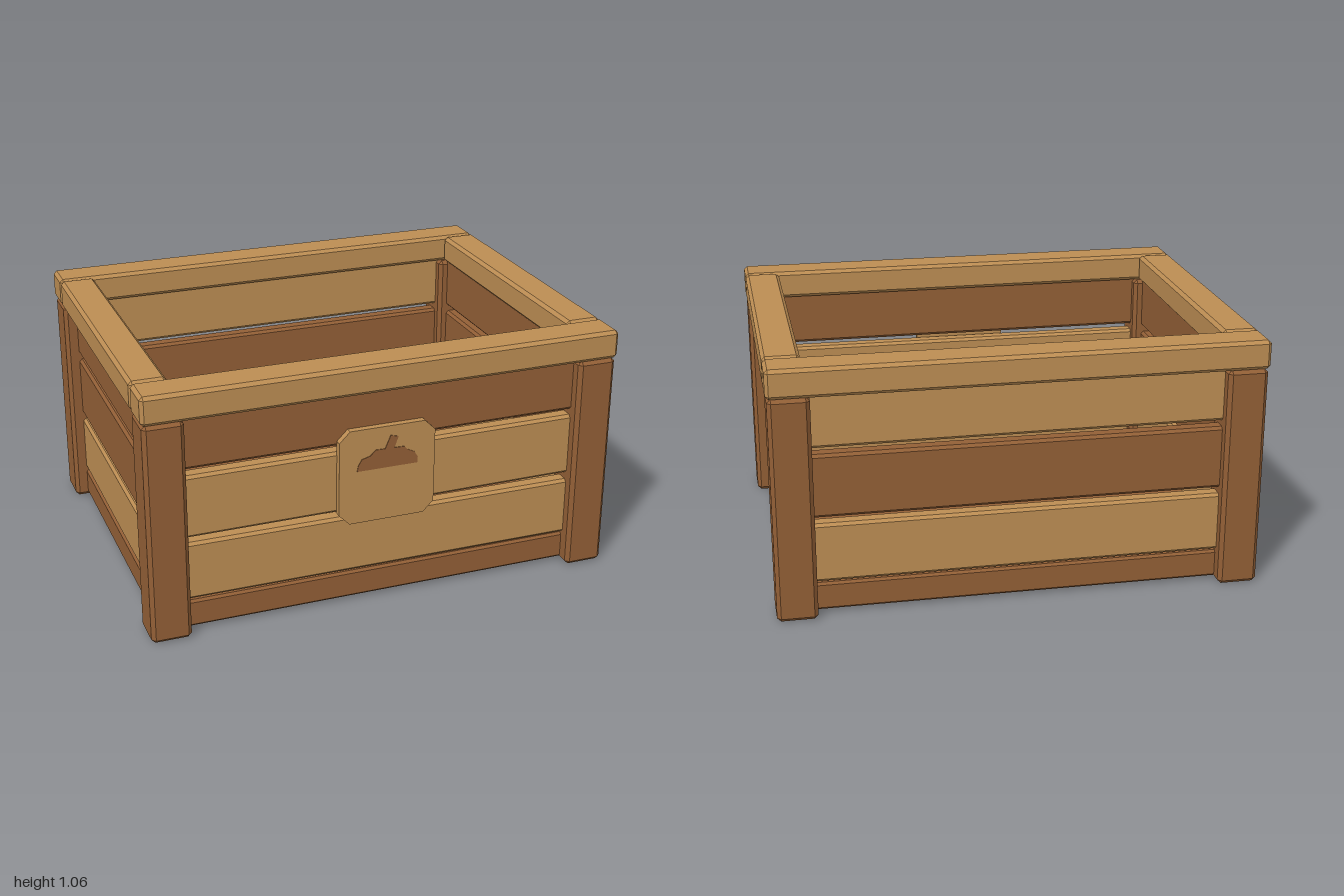
import * as THREE from 'three';
import { ConvexGeometry } from 'three/addons/geometries/ConvexGeometry.js';

// Box with flat chamfers on every edge, given by its limits
function chamferBox(x0, x1, y0, y1, z0, z1, c = 0.015) {
  const h = [(x1 - x0) / 2, (y1 - y0) / 2, (z1 - z0) / 2];
  const points = [];
  for (const sx of [-1, 1]) for (const sy of [-1, 1]) for (const sz of [-1, 1]) {
    for (let full = 0; full < 3; full++) {
      const d = h.map((v, i) => (i === full ? v : v - c));
      points.push(new THREE.Vector3(sx * d[0], sy * d[1], sz * d[2]));
    }
  }
  const geometry = new ConvexGeometry(points);
  return { geometry, center: [(x0 + x1) / 2, (y0 + y1) / 2, (z0 + z1) / 2] };
}

function plate(points, depth) {
  const shape = new THREE.Shape(points.map(([x, y]) => new THREE.Vector2(x, y)));
  return new THREE.ExtrudeGeometry(shape, { depth, bevelEnabled: false });
}

export function createModel() {
  const lightWood = new THREE.MeshStandardMaterial({ color: 0xbc8d53 });
  lightWood.name = 'lightWood';
  const darkWood = new THREE.MeshStandardMaterial({ color: 0x925f36 });
  darkWood.name = 'darkWood';

  const crate = new THREE.Group();
  crate.name = 'crate';

  function board(name, material, limits, chamfer) {
    const { geometry, center } = chamferBox(...limits, chamfer);
    const mesh = new THREE.Mesh(geometry, material);
    mesh.name = name;
    mesh.position.set(...center);
    crate.add(mesh);
    return mesh;
  }

  // Floor slab
  board('floor', darkWood, [-0.94, 0.94, 0.012, 0.13, -0.71, 0.71], 0.01);

  // Corner posts
  for (const sx of [-1, 1]) for (const sz of [-1, 1]) {
    const post = board('cornerPost', darkWood, [0.83, 0.995, 0, 0.937, 0.605, 0.772], 0.016);
    post.position.x *= sx;
    post.position.z *= sz;
  }

  // Wall planks, bottom to top, with gaps between them
  const rows = [[0.14, 0.39], [0.417, 0.683], [0.71, 0.945]];
  const frontColours = [lightWood, lightWood, darkWood];
  const backColours = [lightWood, darkWood, lightWood];
  const sideColours = [lightWood, darkWood, darkWood];
  const tilts = [-0.003, 0.002, 0];
  rows.forEach(([y0, y1], i) => {
    const front = board('frontPlank', frontColours[i], [-0.9, 0.9, y0, y1, 0.65, 0.72], 0.012);
    front.rotation.z = tilts[i];
    board('backPlank', backColours[i], [-0.9, 0.9, y0, y1, -0.72, -0.65], 0.012);
    board('rightPlank', sideColours[i], [0.87, 0.94, y0, y1, -0.67, 0.67], 0.012);
    board('leftPlank', sideColours[i], [-0.94, -0.87, y0, y1, -0.67, 0.67], 0.012);
  });

  // Top rim
  board('frontRim', lightWood, [-1, 1, 0.937, 1.057, 0.62, 0.778], 0.014);
  board('backRim', lightWood, [-1, 1, 0.937, 1.057, -0.778, -0.62], 0.014);
  board('rightRim', lightWood, [0.85, 1, 0.937, 1.057, -0.617, 0.617], 0.014);
  board('leftRim', lightWood, [-1, -0.85, 0.937, 1.057, -0.617, 0.617], 0.014);

  // Sign with cut corners
  const w = 0.205, b = 0.37, t = 0.778, c = 0.045;
  const sign = new THREE.Mesh(plate([
    [-w + c, b], [w - c, b], [w, b + c], [w, t - c],
    [w - c, t], [-w + c, t], [-w, t - c], [-w, b + c],
  ], 0.03), lightWood);
  sign.name = 'sign';
  sign.position.z = 0.718;
  crate.add(sign);

  // Painted vegetable and stem on the sign
  const paint = {
    paintedVegetable: [
      [-0.13, 0.6], [0.13, 0.6], [0.13, 0.625], [0.115, 0.65], [0.085, 0.665], [0.07, 0.68],
      [-0.05, 0.683], [-0.075, 0.66], [-0.11, 0.65], [-0.125, 0.625],
    ],
    paintedStem: [[-0.012, 0.68], [0.028, 0.68], [0.045, 0.728], [0.012, 0.737]],
  };
  for (const [name, points] of Object.entries(paint)) {
    const mesh = new THREE.Mesh(plate(points, 0.004), darkWood);
    mesh.name = name;
    mesh.position.z = 0.747;
    crate.add(mesh);
  }

  return crate;
}
